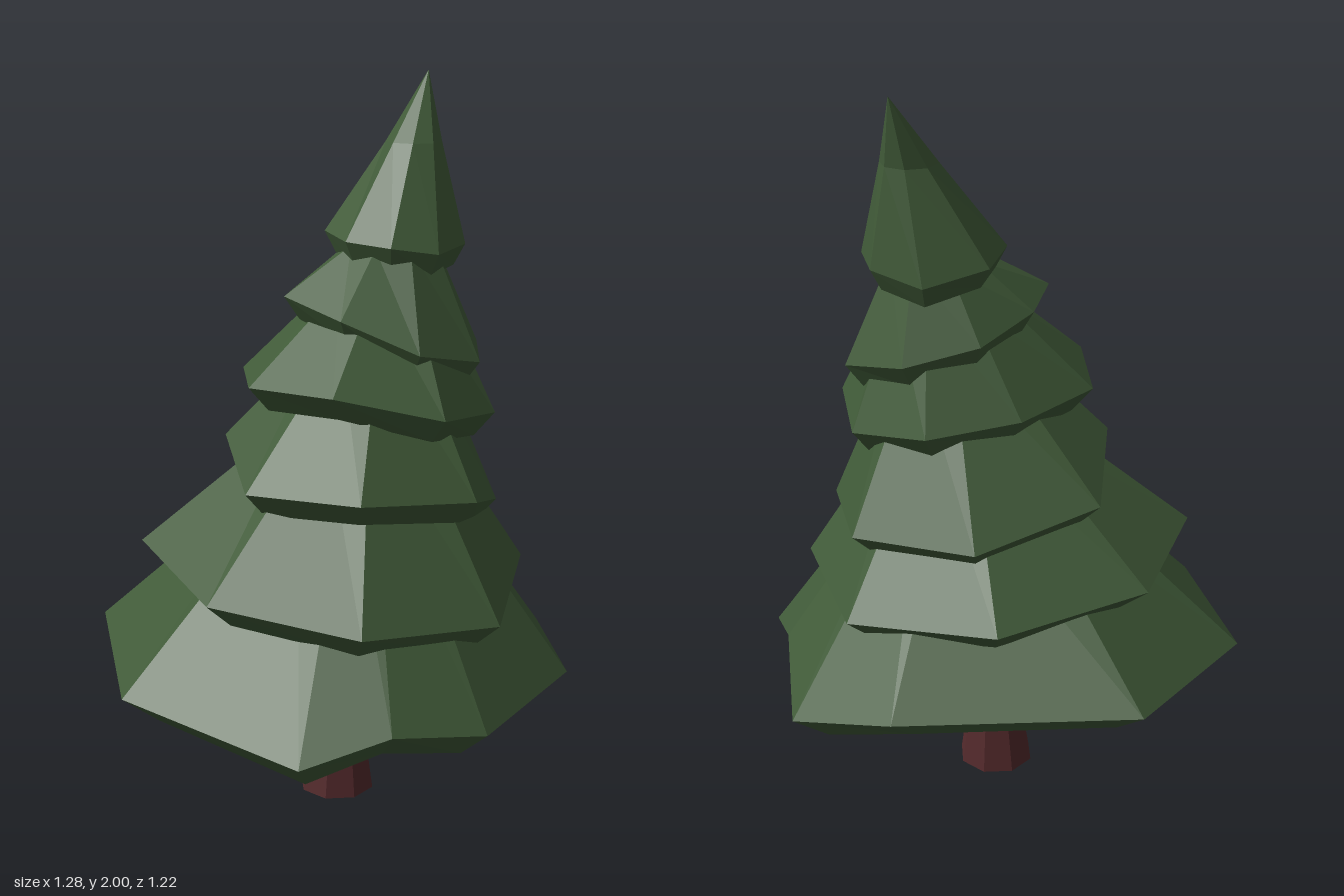
import * as THREE from 'three';

const leafMat = new THREE.MeshStandardMaterial({ color: 0x405a38, flatShading: true });
const barkMat = new THREE.MeshStandardMaterial({ color: 0x542a2c, flatShading: true });

// Centre line of the tree: it leans further to one side and back as it rises
const lean = (y) => new THREE.Vector3(0.07 * y * y, y, -0.21 * (y / 2) ** 5);

// Eight even directions in degrees from a starting turn
const fan = (turn) => Array.from({ length: 8 }, (_, i) => turn + i * 45);

// Ring around the centre line at height y; height(i) can move single points up or down
function ring(y, angles, radius, height = () => y) {
  const centre = lean(y);
  return angles.map((deg, i) => {
    const a = THREE.MathUtils.degToRad(deg);
    return new THREE.Vector3(
      centre.x + Math.cos(a) * radius(i), height(i), centre.z + Math.sin(a) * radius(i));
  });
}

// Faceted skin over a stack of rings, top of the outside first
function loft(rings) {
  const pos = [];
  const tri = (a, b, c) => {
    if (a.distanceTo(b) < 1e-6 || b.distanceTo(c) < 1e-6) return;
    for (const p of [a, b, c]) pos.push(p.x, p.y, p.z);
  };
  for (let r = 0; r < rings.length - 1; r++) {
    const up = rings[r], low = rings[r + 1];
    for (let i = 0; i < up.length; i++) {
      const j = (i + 1) % up.length;
      tri(up[i], up[j], low[i]);
      tri(up[j], low[j], low[i]);
    }
  }
  const g = new THREE.BufferGeometry();
  g.setAttribute('position', new THREE.Float32BufferAttribute(pos, 3));
  g.computeVertexNormals();
  return g;
}

// A tier of branches: sloped skirt, jagged rim, lip turned under, steep hollow underside
function buildTier(name, { angles, radii, heights, topY, topR }) {
  const y = heights.reduce((sum, h) => sum + h, 0) / heights.length;
  const drop = 0.045 + 0.065 * radii[0];
  const mesh = new THREE.Mesh(loft([
    ring(topY + 0.18, angles, () => 0),
    ring(topY, angles, () => topR),
    ring(y, angles, (i) => radii[i], (i) => heights[i]),
    ring(y, angles, (i) => radii[i] * 0.84, (i) => heights[i] - drop),
    ring(topY - 0.04, angles, () => topR * 0.4),
  ]), leafMat);
  mesh.name = name;
  return mesh;
}

// Flared trunk that follows the lean of the tree
function buildTrunk() {
  const sections = [[1.62, 0], [1.62, 0.025], [0.7, 0.058], [0.24, 0.07], [0, 0.107], [0, 0]];
  const mesh = new THREE.Mesh(loft(sections.map(([y, r]) => ring(y, fan(22.5), () => r))), barkMat);
  mesh.name = 'trunk';
  mesh.position.set(0.015, 0, -0.01);
  return mesh;
}

// Rim directions, radii and heights, then the narrow upper end of each tier
const tiers = {
  bottomTier: {
    angles: [13, 57, 82, 104, 153, 198, 241, 298, 326, 353],
    radii: [0.645, 0.62, 0.6, 0.63, 0.665, 0.686, 0.695, 0.645, 0.68, 0.59],
    heights: [0.39, 0.39, 0.43, 0.36, 0.43, 0.47, 0.5, 0.48, 0.38, 0.46],
    topY: 0.97, topR: 0.18,
  },
  secondTier: {
    angles: fan(1),
    radii: [0.495, 0.53, 0.54, 0.54, 0.555, 0.56, 0.56, 0.54],
    heights: [0.69, 0.63, 0.67, 0.71, 0.76, 0.75, 0.72, 0.67],
    topY: 1.12, topR: 0.16,
  },
  thirdTier: {
    angles: fan(4),
    radii: [0.39, 0.43, 0.456, 0.41, 0.35, 0.45, 0.456, 0.45],
    heights: [0.86, 0.95, 0.99, 0.97, 1.05, 0.97, 0.9, 0.88],
    topY: 1.32, topR: 0.14,
  },
  fourthTier: {
    angles: fan(20),
    radii: [0.35, 0.38, 0.365, 0.36, 0.35, 0.31, 0.33, 0.33],
    heights: [1.13, 1.17, 1.235, 1.22, 1.21, 1.19, 1.16, 1.11],
    topY: 1.46, topR: 0.14,
  },
  fifthTier: {
    angles: fan(30),
    radii: [0.29, 0.285, 0.246, 0.267, 0.235, 0.24, 0.27, 0.29],
    heights: [1.27, 1.32, 1.4, 1.44, 1.43, 1.38, 1.33, 1.28],
    topY: 1.56, topR: 0.12,
  },
  crown: {
    angles: fan(10),
    radii: [0.19, 0.174, 0.16, 0.17, 0.185, 0.225, 0.215, 0.2],
    heights: [1.56, 1.55, 1.57, 1.58, 1.59, 1.58, 1.54, 1.56],
    topY: 1.82, topR: 0.075,
  },
};

export function createModel() {
  const tree = new THREE.Group();
  tree.name = 'pineTree';
  tree.add(buildTrunk());
  for (const [name, tier] of Object.entries(tiers)) tree.add(buildTier(name, tier));
  return tree;
}
